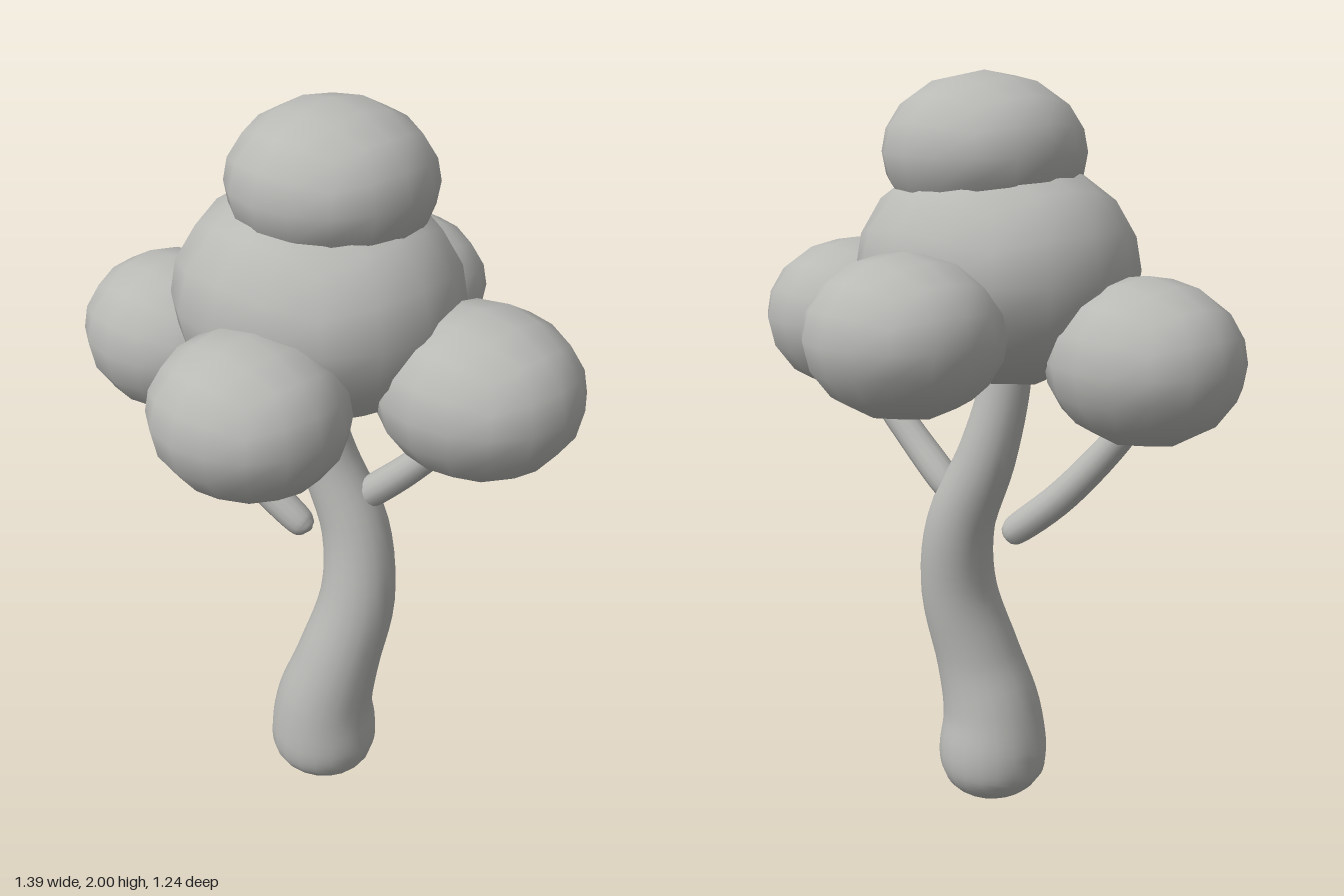
import * as THREE from 'three';
import { mergeVertices } from 'three/addons/utils/BufferGeometryUtils.js';

const stone = new THREE.MeshStandardMaterial({ name: 'plain grey', color: 0xb9b9b6 });

// Leaf clump: a cube rounded into a low-poly ellipsoid, with smooth normals
function clumpGeometry(rx, ry, rz) {
  let geo = new THREE.BoxGeometry(2, 2, 2, 4, 4, 4);
  geo.deleteAttribute('uv');
  geo.deleteAttribute('normal');
  geo = mergeVertices(geo);
  const pos = geo.attributes.position;
  const v = new THREE.Vector3();
  const even = (c) => Math.tan((c * Math.PI) / 4);
  for (let i = 0; i < pos.count; i++) {
    v.fromBufferAttribute(pos, i);
    v.set(even(v.x), even(v.y), even(v.z)).normalize();
    pos.setXYZ(i, v.x * rx, v.y * ry, v.z * rz);
  }
  geo.computeVertexNormals();
  return geo;
}

// Limb: round cross-sections swept along control points [x, y, z, radius]
function limbGeometry(points, rings, sides) {
  const path = new THREE.CatmullRomCurve3(
    points.map((p) => new THREE.Vector3(p[0], p[1], p[2])), false, 'catmullrom');
  const radii = new THREE.CatmullRomCurve3(
    points.map((p) => new THREE.Vector3(p[3], 0, 0)), false, 'catmullrom');
  const zAxis = new THREE.Vector3(0, 0, 1);
  const positions = [];
  const index = [];
  for (let i = 0; i <= rings; i++) {
    const t = i / rings;
    const c = path.getPoint(t);
    const r = Math.max(0, radii.getPoint(t).x);
    const tangent = path.getTangent(t);
    const n = new THREE.Vector3().crossVectors(zAxis, tangent).normalize();
    const b = new THREE.Vector3().crossVectors(tangent, n);
    for (let j = 0; j < sides; j++) {
      const a = (j / sides) * Math.PI * 2;
      const p = c.clone().addScaledVector(n, r * Math.cos(a)).addScaledVector(b, r * Math.sin(a));
      positions.push(p.x, Math.max(0, p.y), p.z);
      if (i < rings) {
        const k = i * sides + j;
        const m = i * sides + ((j + 1) % sides);
        index.push(k, m, k + sides, m, m + sides, k + sides);
      }
    }
  }
  let geo = new THREE.BufferGeometry();
  geo.setAttribute('position', new THREE.Float32BufferAttribute(positions, 3));
  geo.setIndex(index);
  geo = mergeVertices(geo);
  geo.computeVertexNormals();
  return geo;
}

export function createModel() {
  const tree = new THREE.Group();
  tree.name = 'tree';
  const add = (name, geometry) => {
    const mesh = new THREE.Mesh(geometry, stone);
    mesh.name = name;
    tree.add(mesh);
    return mesh;
  };

  // Bent trunk with a rounded foot
  add('trunk', limbGeometry([
    [0.015, 0, 0.025, 0],
    [0.015, 0.008, 0.025, 0.08],
    [0.015, 0.055, 0.025, 0.135],
    [0.015, 0.13, 0.027, 0.152],
    [0.025, 0.25, 0.03, 0.137],
    [0.058, 0.4, 0.01, 0.118],
    [0.087, 0.6, -0.035, 0.105],
    [0.055, 0.8, -0.055, 0.094],
    [-0.025, 1.0, -0.03, 0.08],
    [-0.065, 1.2, 0, 0.068],
    [-0.07, 1.38, 0.01, 0.06],
  ], 50, 20));

  // Two side branches, blunt where they meet the trunk
  add('leftBranch', limbGeometry([
    [0.06, 0.885, -0.075, 0],
    [0.065, 0.89, -0.076, 0.03],
    [0.095, 0.92, -0.08, 0.043],
    [0.2, 1.02, -0.1, 0.042],
    [0.3, 1.13, -0.125, 0.038],
    [0.38, 1.24, -0.13, 0.034],
  ], 25, 14));
  add('rightBranch', limbGeometry([
    [-0.05, 0.775, 0.02, 0],
    [-0.055, 0.779, 0.022, 0.027],
    [-0.09, 0.805, 0.035, 0.042],
    [-0.21, 0.915, 0.085, 0.043],
    [-0.34, 1.08, 0.15, 0.039],
    [-0.41, 1.2, 0.17, 0.034],
  ], 25, 14));

  // Canopy clumps: name, centre, radii
  const clumps = [
    ['topClump', [0.013, 1.795, -0.005], [0.266, 0.205, 0.266]],
    ['mainClump', [-0.01, 1.495, 0.02], [0.388, 0.31, 0.362]],
    ['leftClump', [0.42, 1.335, -0.112], [0.272, 0.215, 0.256]],
    ['rightClump', [-0.435, 1.295, 0.14], [0.265, 0.215, 0.243]],
    ['frontClump', [0.118, 1.335, 0.375], [0.256, 0.205, 0.243]],
    ['backClump', [-0.115, 1.375, -0.37], [0.256, 0.205, 0.25]],
  ];
  for (const [name, centre, radii] of clumps) {
    add(name, clumpGeometry(...radii)).position.set(...centre);
  }
  return tree;
}
